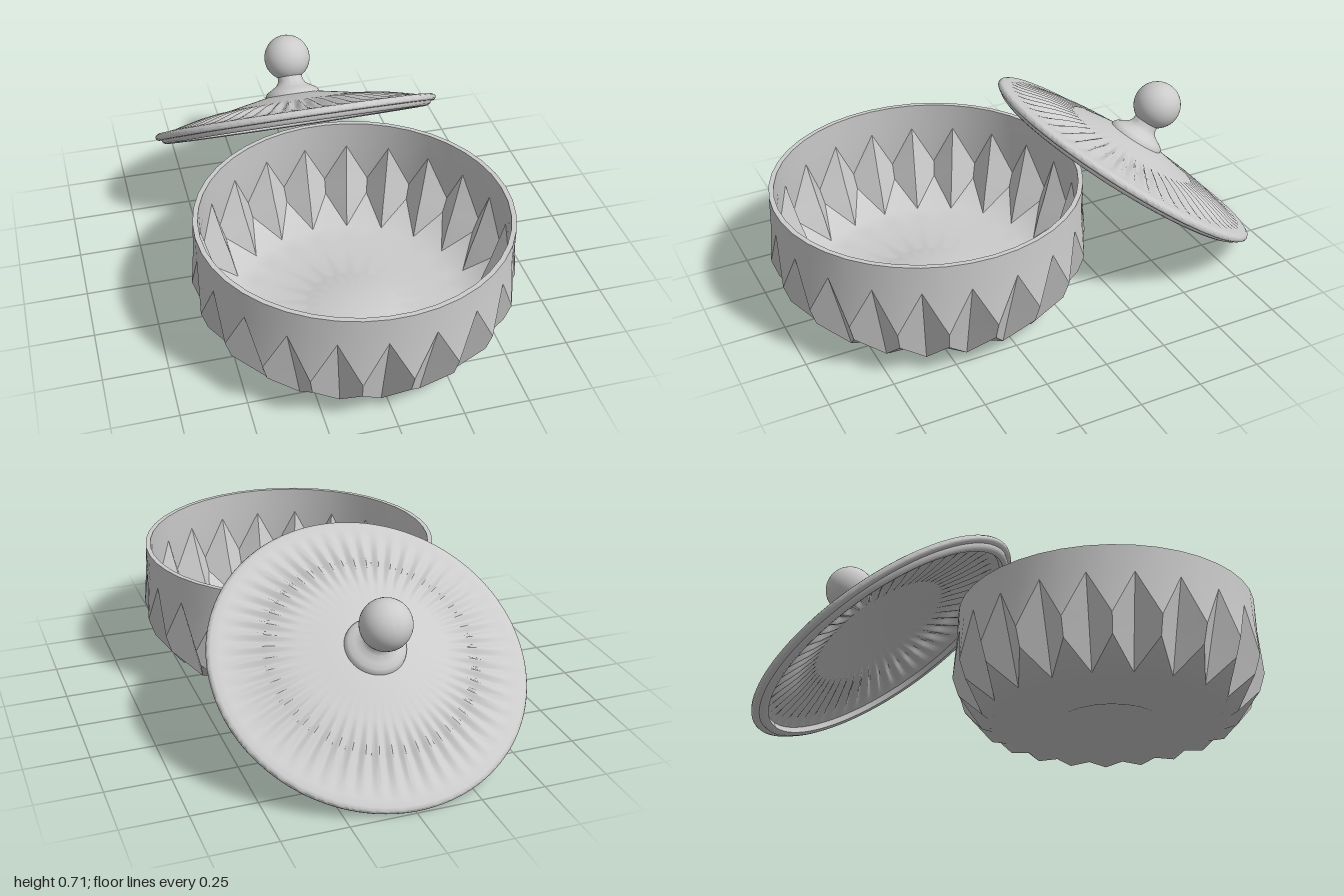
import * as THREE from 'three';
import { toCreasedNormals } from 'three/addons/utils/BufferGeometryUtils.js';

const FACETS = 21;      // folds around the bowl
const FLUTES = 52;      // small flutes around the lid
const material = new THREE.MeshStandardMaterial({ color: 0xcccccc, side: THREE.DoubleSide });

function part(name, geometry, crease) {
  const mesh = new THREE.Mesh(toCreasedNormals(geometry, crease), material);
  mesh.name = name;
  return mesh;
}

// Folded shell. Each row is [valley radius, valley y, ridge radius, ridge y, cut];
// cut chooses the diagonal towards the next row, so the folds stay crisp.
function foldedShell(rows, inward) {
  const pos = [];
  const point = (row, i) => {
    const a = -0.067 + (i * Math.PI) / FACETS;
    const o = i % 2 === 0 ? 0 : 2;
    return [row[o] * Math.sin(a), row[o + 1], row[o] * Math.cos(a)];
  };
  const tri = (a, b, c) => (inward ? pos.push(...a, ...c, ...b) : pos.push(...a, ...b, ...c));
  for (let r = 0; r < rows.length - 1; r++) {
    for (let i = 0; i < FACETS * 2; i++) {
      const a = point(rows[r], i), b = point(rows[r], i + 1);
      const c = point(rows[r + 1], i), d = point(rows[r + 1], i + 1);
      const valleyFirst = i % 2 === 0;
      // cut 0: upper valley to lower ridge; cut 1: upper ridge to lower valley
      if (valleyFirst === (rows[r][4] === 0)) {
        tri(a, c, d);
        tri(a, d, b);
      } else {
        tri(a, c, b);
        tri(b, c, d);
      }
    }
  }
  const g = new THREE.BufferGeometry();
  g.setAttribute('position', new THREE.Float32BufferAttribute(pos, 3));
  return g;
}

function createBowl() {
  const bowl = new THREE.Group();
  bowl.name = 'bowl';
  // Upright wall: plain band, then diamond folds ending in a zigzag
  const wall = [
    [0.6, 0.51, 0.6, 0.51, 0],
    [0.6, 0.4, 0.604, 0.4, 0],
    [0.554, 0.23, 0.619, 0.225, 0],
    [0.533, 0.15, 0.595, 0.15, 1],
    [0.505, 0.04, 0.595, 0.15, 0],
  ];
  // Floor: teeth curve up into the zigzag, a small recess in the middle
  const floor = [
    wall[4],
    [0.44, 0.039, 0.475, 0.052, 0],
    [0.38, 0.039, 0.38, 0.043, 0],
    [0.21, 0.036, 0.21, 0.037, 0],
    [0.18, 0.048, 0.18, 0.048, 0],
    [0, 0.048, 0, 0.048, 0],
  ];
  // Inner skin: walls move inwards, floor moves up
  const inset = (rows, dr, dy) => rows.map(([vr, vy, rr, ry, cut]) => [
    Math.max(vr - dr, 0), vy + dy(vy), Math.max(rr - dr, 0), ry + dy(ry), cut,
  ]);
  const lift = (y) => (y < 0.2 ? 0.016 : 0);
  const innerWall = inset(wall, 0.019, lift);
  const innerFloor = inset(floor, 0.019, lift);
  bowl.add(part('bowlOuterWall', foldedShell(wall, false), 0.4));
  bowl.add(part('bowlInnerWall', foldedShell(innerWall, true), 0.4));
  bowl.add(part('bowlUnderside', foldedShell(floor, false), 0.9));
  bowl.add(part('bowlFloor', foldedShell(innerFloor, true), 0.9));
  bowl.add(part('bowlRim', foldedShell([innerWall[0], wall[0]], false), 0.4));
  bowl.position.z = 0.385;
  return bowl;
}

function lathe(points, segments) {
  return new THREE.LatheGeometry(points.map(([x, y]) => new THREE.Vector2(x, y)), segments);
}

function createLid() {
  const lid = new THREE.Group();
  lid.name = 'lid';

  // Shallow dome with a lower flange and a rounded rim, from underside to top
  const plate = lathe([
    [0, 0.08], [0.12, 0.075], [0.28, 0.05], [0.34, 0.038], [0.4, 0.026], [0.46, 0.014],
    [0.52, 0.002], [0.545, -0.006], [0.55, -0.028], [0.565, -0.032], [0.578, -0.026],
    [0.582, -0.014], [0.596, -0.013], [0.604, -0.006], [0.606, 0.002], [0.602, 0.01],
    [0.59, 0.016], [0.56, 0.018], [0.52, 0.021], [0.46, 0.031], [0.4, 0.043],
    [0.34, 0.055], [0.28, 0.067], [0.2, 0.083], [0.12, 0.098], [0, 0.1],
  ], FLUTES * 6);
  // Radial flutes that fade out at both ends
  const p = plate.attributes.position;
  for (let i = 0; i < p.count; i++) {
    const x = p.getX(i), z = p.getZ(i);
    const t = (Math.hypot(x, z) - 0.28) / 0.265;
    if (t <= 0 || t >= 1) continue;
    const wave = Math.cos(Math.atan2(x, z) * FLUTES);
    p.setY(i, p.getY(i) + 0.009 * Math.sin(Math.PI * t) * wave);
  }
  lid.add(part('lidPlate', plate, 0.9));

  // Flared neck and ball knob
  const neck = lathe([
    [0.118, 0.09], [0.115, 0.107], [0.105, 0.119], [0.085, 0.13],
    [0.063, 0.144], [0.053, 0.16], [0.052, 0.19],
  ], 48);
  lid.add(part('knobNeck', neck, 0.7));
  const ball = part('knobBall', new THREE.SphereGeometry(0.097, 40, 24), 0.7);
  ball.position.y = 0.26;
  lid.add(ball);

  // Leaning against the back of the bowl
  lid.position.set(-0.012, 0.356, -0.503);
  lid.rotation.x = -0.62;
  return lid;
}

export function createModel() {
  const model = new THREE.Group();
  model.name = 'lidded bowl';
  model.add(createBowl(), createLid());
  return model;
}
